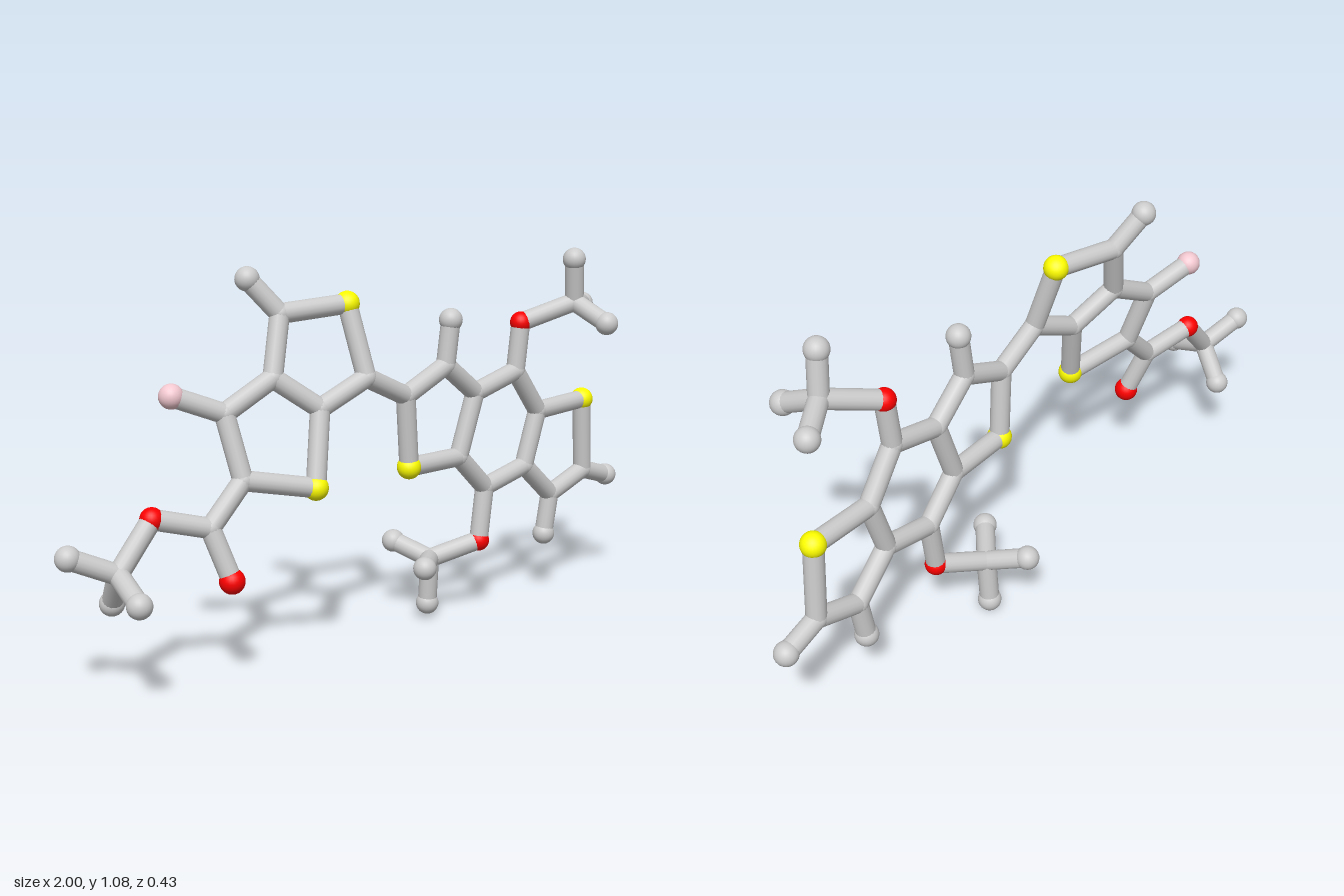
import * as THREE from 'three';

const BOND_RADIUS = 0.028;
const material = (color) => new THREE.MeshStandardMaterial({ color });
const KINDS = {
  joint: { radius: 0.029, mat: material(0xcccccc) },
  end: { radius: 0.034, mat: material(0xcccccc) },
  sulfur: { radius: 0.035, mat: material(0xffff00) },
  oxygen: { radius: 0.032, mat: material(0xff0000) },
  oxygenEnd: { radius: 0.035, mat: material(0xff0000) },
  fluorine: { radius: 0.034, mat: material(0xf2c8d0) },
};

// The two ring systems are flat and slightly tilted: z follows from x and y.
const leftPlane = (x, y) => 0.256 + 0.216 * x - 0.271 * y;
const rightPlane = (x, y) => -0.001 - 0.059 * x + 0.034 * y;

// name: [kind, x, y, optional z]
const LEFT = {
  a1: ['end', -0.375, 1.055], a2: ['joint', -0.30, 0.96], a3: ['sulfur', -0.10, 0.975],
  a4: ['joint', -0.08, 0.775], a5: ['joint', -0.23, 0.705], a6: ['joint', -0.35, 0.795],
  a7: ['joint', -0.50, 0.715], a8: ['fluorine', -0.635, 0.77], a9: ['joint', -0.48, 0.54],
  a10: ['sulfur', -0.28, 0.50],
  // ester tail
  e1: ['joint', -0.59, 0.43], e2: ['oxygenEnd', -0.555, 0.29], e3: ['oxygen', -0.74, 0.47],
  e4: ['joint', -0.85, 0.345], e5: ['end', -0.97, 0.40, -0.06],
  e6: ['end', -0.865, 0.295, 0.105], e7: ['end', -0.825, 0.245, -0.10],
};
const RIGHT = {
  b1: ['joint', 0.07, 0.705], b2: ['joint', 0.225, 0.775], b3: ['end', 0.24, 0.905],
  b4: ['joint', 0.35, 0.68], b5: ['joint', 0.29, 0.495], b6: ['sulfur', 0.09, 0.495],
  c1: ['joint', 0.52, 0.725], c2: ['joint', 0.625, 0.59], c3: ['joint', 0.575, 0.425],
  c4: ['joint', 0.405, 0.385],
  d1: ['sulfur', 0.83, 0.60], d2: ['joint', 0.85, 0.37], d3: ['joint', 0.70, 0.315],
  d4: ['end', 0.68, 0.19], d5: ['end', 0.965, 0.335],
  // upper side group
  m1: ['oxygen', 0.535, 0.87], m2: ['joint', 0.69, 0.925, 0.065],
  m3: ['end', 0.67, 1.055, 0.08], m4: ['end', 0.805, 0.905, -0.015],
  m5: ['end', 0.71, 0.87, 0.18],
  // lower side group
  n1: ['oxygen', 0.38, 0.225, -0.008], n2: ['joint', 0.24, 0.18, -0.07],
  n3: ['end', 0.135, 0.19, 0.03], n4: ['end', 0.24, 0.04, -0.08],
  n5: ['end', 0.19, 0.22, -0.18],
};

// Each chain is a run of atoms joined one after another.
const CHAINS = [
  'a1 a2 a3 a4 a5 a6 a2', 'a6 a7 a9 a10 a5', 'a7 a8', 'a9 e1 e3 e4 e5', 'e1 e2', 'e6 e4 e7',
  'a4 b1 b2 b4 b5 b6 b1', 'b2 b3', 'b4 c1 c2 c3 c4 b5', 'c2 d1 d2 d3 c3', 'd3 d4', 'd2 d5',
  'c1 m1 m2 m3', 'm4 m2 m5', 'c4 n1 n2 n3', 'n4 n2 n5',
];

export function createModel() {
  const model = new THREE.Group();
  model.name = 'molecule';
  const atoms = new THREE.Group();
  atoms.name = 'atoms';
  const bonds = new THREE.Group();
  bonds.name = 'bonds';
  model.add(atoms, bonds);

  // Balls
  const ball = new THREE.SphereGeometry(1, 24, 16);
  const points = {};
  for (const [table, plane] of [[LEFT, leftPlane], [RIGHT, rightPlane]]) {
    for (const [key, [kind, x, y, z = plane(x, y)]] of Object.entries(table)) {
      const atom = new THREE.Mesh(ball, KINDS[kind].mat);
      atom.name = kind + 'Atom';
      atom.position.set(x, y, z);
      atom.scale.setScalar(KINDS[kind].radius);
      atoms.add(atom);
      points[key] = atom.position;
    }
  }

  // Sticks
  const stick = new THREE.CylinderGeometry(BOND_RADIUS, BOND_RADIUS, 1, 16);
  const up = new THREE.Vector3(0, 1, 0);
  for (const chain of CHAINS) {
    const keys = chain.split(' ');
    for (let i = 1; i < keys.length; i++) {
      const from = points[keys[i - 1]], to = points[keys[i]];
      const span = to.clone().sub(from);
      const bond = new THREE.Mesh(stick, KINDS.joint.mat);
      bond.name = 'bond';
      bond.position.copy(from).add(to).multiplyScalar(0.5);
      bond.scale.y = span.length();
      bond.quaternion.setFromUnitVectors(up, span.normalize());
      bonds.add(bond);
    }
  }
  return model;
}
